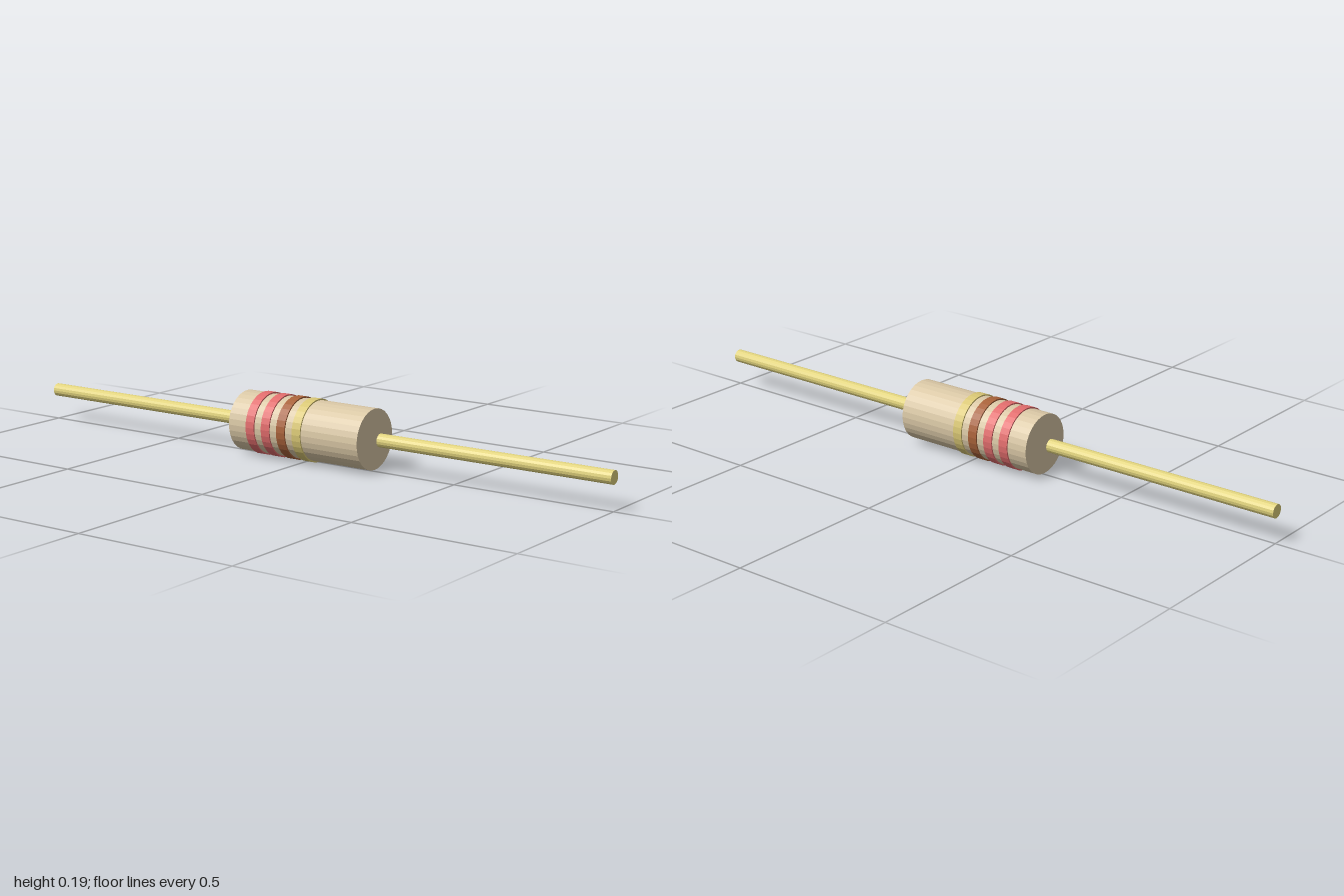
import * as THREE from 'three';

const AXIS_Y = 0.096;

// Closed cylinder lying along x
function rod(name, radius, length, x, sides, color) {
  const geometry = new THREE.CylinderGeometry(radius, radius, length, sides);
  geometry.rotateZ(Math.PI / 2);
  const material = new THREE.MeshStandardMaterial({ color, flatShading: true });
  const mesh = new THREE.Mesh(geometry, material);
  mesh.name = name;
  mesh.position.set(x, AXIS_Y, 0);
  return mesh;
}

export function createModel() {
  const model = new THREE.Group();
  model.name = 'resistor';

  // Ceramic body
  model.add(rod('body', 0.09, 0.46, 0, 32, 0xd9c7a5));

  // Wire leads, set slightly clear of the body ends
  for (const side of [-1, 1]) {
    model.add(rod(side > 0 ? 'leftLead' : 'rightLead', 0.02, 0.75, side * 0.625, 16, 0xe0d27c));
  }

  // Raised colour bands, evenly spaced from the right end
  const bands = [
    ['firstRedBand', 0xe06c6c],
    ['secondRedBand', 0xe06c6c],
    ['brownBand', 0xa8623a],
    ['goldBand', 0xd8c674],
  ];
  bands.forEach(([name, color], i) => {
    model.add(rod(name, 0.094, 0.03, -0.15 + i * 0.056, 32, color));
  });

  return model;
}
